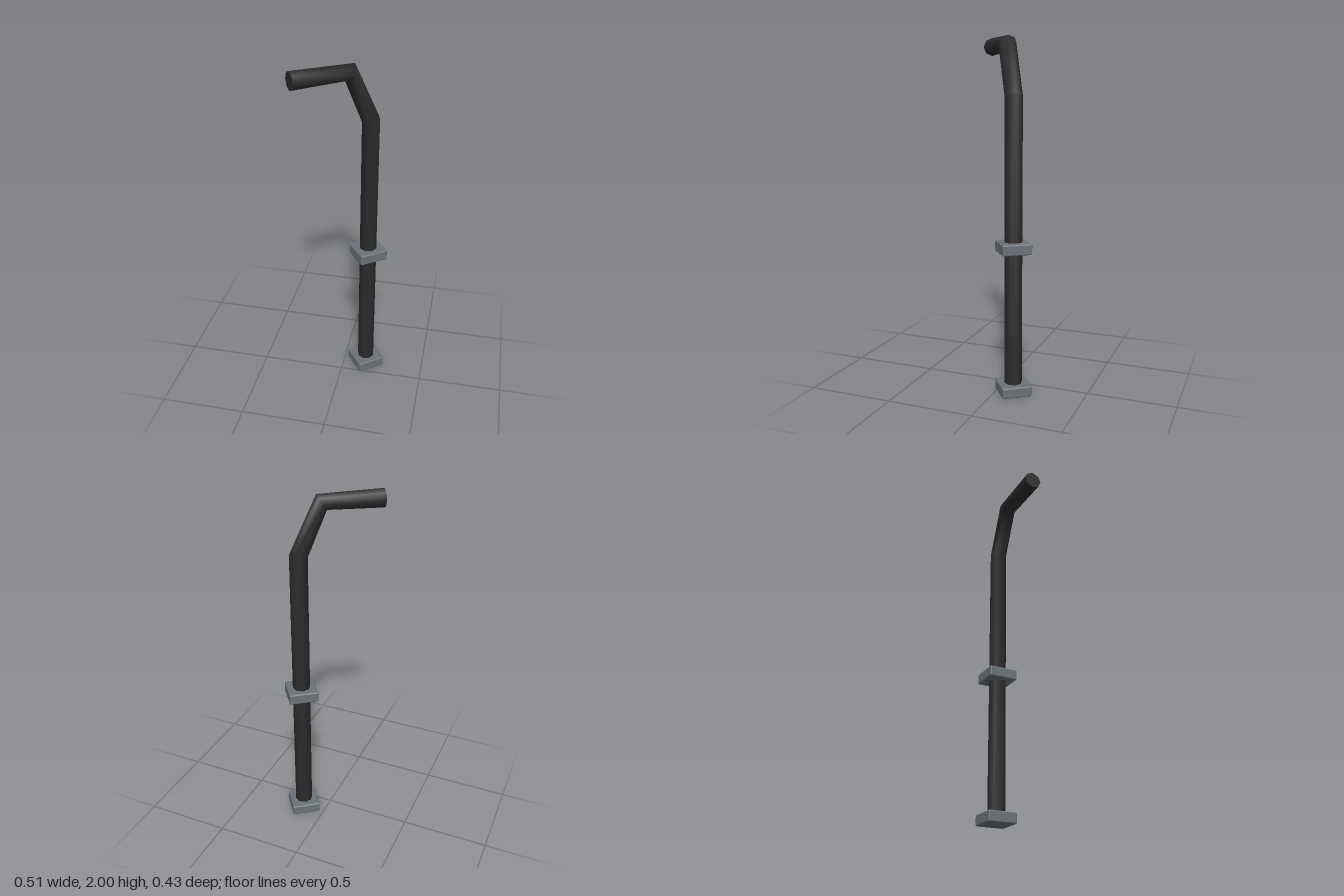
import * as THREE from 'three';
import { RoundedBoxGeometry } from 'three/addons/geometries/RoundedBoxGeometry.js';

// Eight-sided pipe: a capped cylinder whose rings are moved onto a bent path in the xy plane.
function bentPipe(path, radius) {
  const rows = path.length - 1;
  const geometry = new THREE.CylinderGeometry(radius, radius, 1, 8, rows);
  const position = geometry.attributes.position;
  const normal = geometry.attributes.normal;

  // Each ring faces along the average of the two directions that meet there.
  const frames = path.map((point, i) => {
    const along = new THREE.Vector2();
    if (i > 0) along.add(point.clone().sub(path[i - 1]).normalize());
    if (i < rows) along.add(path[i + 1].clone().sub(point).normalize());
    along.normalize();
    return { point, along };
  });

  for (let v = 0; v < position.count; v++) {
    const { point, along } = frames[Math.round((position.getY(v) + 0.5) * rows)];
    const x = position.getX(v);
    position.setXY(v, point.x + x * along.y, point.y - x * along.x);
    const nx = normal.getX(v), ny = normal.getY(v);
    normal.setXY(v, nx * along.y + ny * along.x, -nx * along.x + ny * along.y);
  }
  return geometry;
}

export function createModel() {
  const blackMetal = new THREE.MeshStandardMaterial({ color: 0x2b2b2b });
  blackMetal.name = 'black metal';
  const greyMetal = new THREE.MeshStandardMaterial({ color: 0x6b7378 });
  greyMetal.name = 'grey metal';

  const model = new THREE.Group();
  model.name = 'bentPipeStand';

  // The pole stands at the local origin and its arm points along local +x.
  const stand = new THREE.Group();
  stand.name = 'stand';
  stand.position.set(0.138, 0, -0.1);
  stand.rotation.y = Math.PI + Math.atan2(0.6, 0.8);
  model.add(stand);

  // Upright, slanted neck and level arm
  const path = [[0, 0.01], [0, 1.67], [0.125, 1.949], [0.454, 1.949]]
    .map(([x, y]) => new THREE.Vector2(x, y));
  const pipe = new THREE.Mesh(bentPipe(path, 0.051), blackMetal);
  pipe.name = 'pipe';
  stand.add(pipe);

  // Square mounting plates at the foot and halfway up
  const plateGeometry = new RoundedBoxGeometry(0.168, 0.062, 0.168, 2, 0.008);
  for (const [name, y] of [['basePlate', 0.031], ['middlePlate', 0.846]]) {
    const plate = new THREE.Mesh(plateGeometry, greyMetal);
    plate.name = name;
    plate.position.y = y;
    stand.add(plate);
  }

  return model;
}
